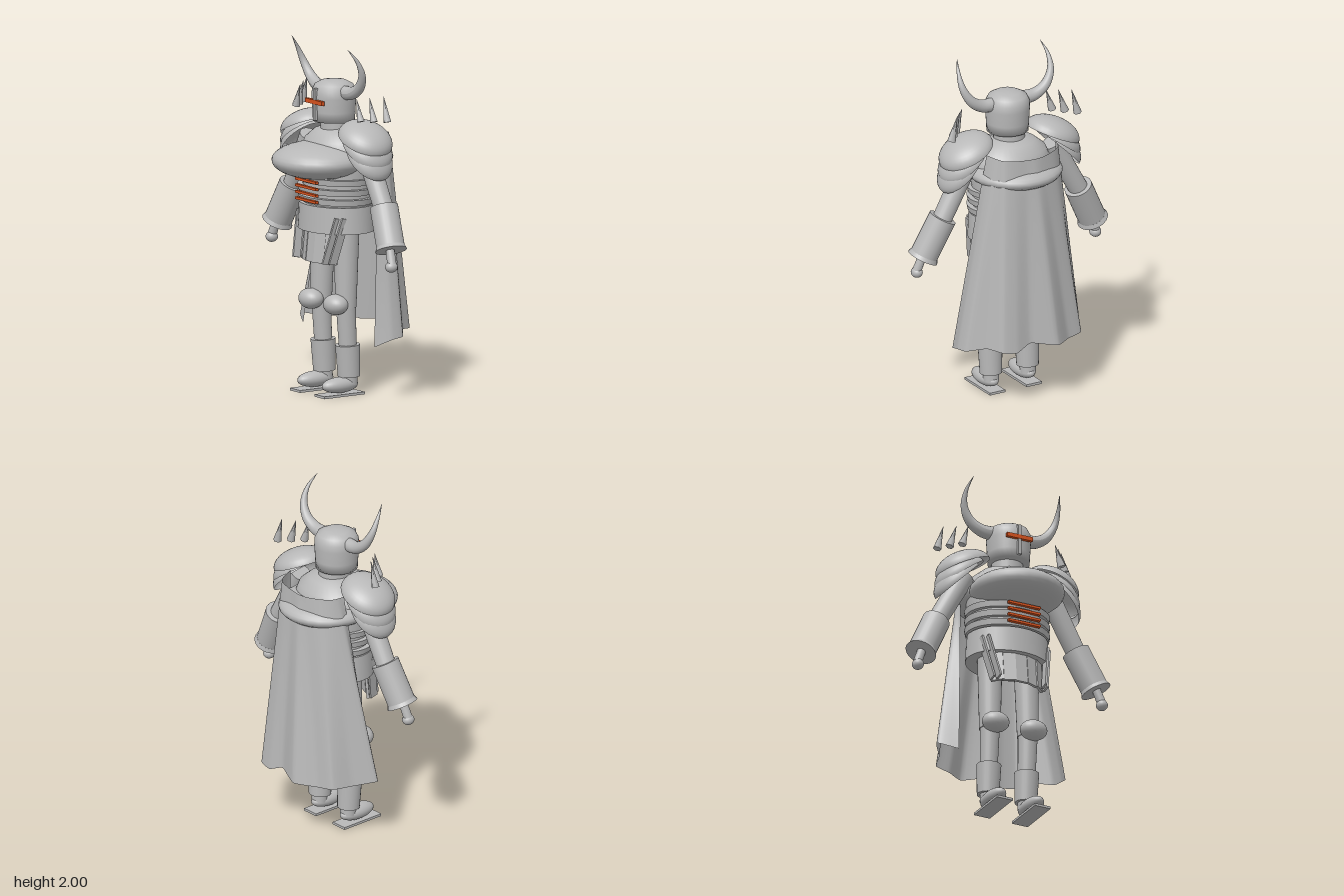
import * as THREE from 'three';

export function createModel() {
  const model = new THREE.Group();
  const steel = new THREE.MeshStandardMaterial({ color: 0xb8b8b8, side: THREE.DoubleSide });
  steel.name = 'steel grey';
  const glow = new THREE.MeshStandardMaterial({ color: 0xd9531e });
  glow.name = 'ember orange';
  const V = (x, y, z) => new THREE.Vector3(x, y, z);

  const add = (name, geo, pos = [0, 0, 0], mat = steel) => {
    const m = new THREE.Mesh(geo, mat);
    m.name = name;
    m.position.set(...pos);
    model.add(m);
    return m;
  };
  const box = (name, size, pos, mat) => add(name, new THREE.BoxGeometry(...size), pos, mat);
  const ball = (name, pos, radii) => {
    const m = add(name, new THREE.SphereGeometry(1, 28, 18), pos);
    m.scale.set(...radii);
    return m;
  };
  // Cylinder or cone running from a to b
  const rod = (name, a, b, ra, rb, sides = 24) => {
    const d = b.clone().sub(a);
    const m = add(name, new THREE.CylinderGeometry(rb, ra, d.length(), sides), a.clone().add(b).multiplyScalar(0.5).toArray());
    m.quaternion.setFromUnitVectors(V(0, 1, 0), d.normalize());
    return m;
  };
  const lathe = (name, profile, pos, zScale = 1) => {
    const m = add(name, new THREE.LatheGeometry(profile.map(p => new THREE.Vector2(...p)), 36), pos);
    m.scale.z = zScale;
    return m;
  };

  // Helmet with cross-shaped visor
  lathe('helmet', [[0, 1.545], [0.118, 1.545], [0.121, 1.6], [0.126, 1.68], [0.124, 1.72], [0.108, 1.752],
    [0.07, 1.772], [0.03, 1.778], [0, 1.779]], [0, 0, 0.017]);
  box('visorSlit', [0.16, 0.024, 0.02], [0, 1.662, 0.148], glow);
  box('visorBar', [0.02, 0.18, 0.025], [0, 1.647, 0.142]);
  rod('neck', V(0, 1.46, 0), V(0, 1.56, 0), 0.09, 0.09);

  // Torso, breastplate and back plate
  lathe('torso', [[0, 0.95], [0.215, 0.95], [0.222, 1.1], [0.225, 1.22], [0.24, 1.32], [0.235, 1.38], [0.21, 1.44],
    [0.15, 1.49], [0.08, 1.514], [0, 1.52]], [0, 0, -0.01], 0.82);
  ball('breastplate', [0, 1.33, 0.115], [0.27, 0.105, 0.27]);
  ball('backPlate', [0, 1.335, -0.06], [0.27, 0.083, 0.27]);
  lathe('belt', [[0, 0.93], [0.245, 0.93], [0.245, 0.93], [0.238, 1.08], [0.238, 1.08], [0, 1.08]], [0, 0, 0], 0.82);

  // Abdomen bands and glowing vents
  [1.108, 1.163, 1.22].forEach(y => {
    const m = add('abdomenBand', new THREE.CylinderGeometry(0.252, 0.245, 0.034, 40), [0, y, 0]);
    m.scale.z = 0.79;
  });
  [1.108, 1.145, 1.182, 1.219].forEach(y => box('vent', [0.2, 0.014, 0.02], [0, y, 0.203], glow));

  // Skirt plates around the front, with thin fins at the hips
  for (let i = -2; i <= 2; i++) {
    const a = i * 0.36;
    const m = box('skirtPlate', [0.078, 0.2, 0.016], [Math.sin(a) * 0.2, 0.855, Math.cos(a) * 0.165]);
    m.rotation.set(-0.1, a, 0);
  }

  for (const s of [1, -1]) {
    for (const [x, z] of [[0.19, 0.115], [0.165, 0.145]]) {
      const m = box('hipFin', [0.012, 0.27, 0.05], [s * x, 0.89, z]);
      m.rotation.set(-0.22, 0, -s * 0.17);
    }

    // Horn: tube narrowed to a point along its curve
    const path = new THREE.CatmullRomCurve3([V(s * 0.1, 1.715, 0.015), V(s * 0.17, 1.722, 0.012), V(s * 0.24, 1.765, 0.01),
      V(s * 0.285, 1.84, 0.025), V(s * 0.292, 1.92, 0.06), V(s * 0.27, 2.0, 0.118)]);
    const horn = new THREE.TubeGeometry(path, 28, 0.04, 16);
    const hp = horn.attributes.position;
    for (let i = 0; i < hp.count; i++) {
      const t = Math.floor(i / 17) / 28;
      const c = path.getPointAt(t);
      const p = V(0, 0, 0).fromBufferAttribute(hp, i).sub(c).multiplyScalar(1 - Math.pow(t, 1.25)).add(c);
      hp.setXYZ(i, p.x, p.y, p.z);
    }
    horn.computeVertexNormals();
    add('horn', horn);

    // Shoulder guard of three overlapping half domes
    [[0.28, 1.47, 0.42, 0.153, 0.095], [0.3, 1.422, 0.63, 0.143, 0.088], [0.317, 1.378, 0.79, 0.135, 0.086]]
      .forEach(([x, y, tilt, rz, h]) => {
        const m = add('shoulderDome', new THREE.SphereGeometry(1, 32, 10, 0, Math.PI * 2, 0, Math.PI / 2), [s * x, y, 0]);
        m.scale.set(0.165, h, rz);
        m.rotation.z = -s * tilt;
      });

    // Floating shoulder spikes
    [[0.315, 0.275, 1.71, 0.055], [0.365, 0.322, 1.72, 0], [0.412, 0.373, 1.73, -0.06]].forEach(([x, tx, ty, z]) =>
      rod('shoulderSpike', V(s * x, 1.585, z), V(s * tx, ty, z), 0.024, 0.001, 6));

    // Arm, flared gauntlet and hand
    rod('upperArm', V(s * 0.27, 1.42, -0.01), V(s * 0.47, 1.06, -0.012), 0.06, 0.055);
    rod('gauntlet', V(s * 0.442, 1.115, -0.015), V(s * 0.548, 0.9, 0.013), 0.08, 0.08);
    rod('gauntletCuff', V(s * 0.545, 0.906, 0.012), V(s * 0.555, 0.885, 0.015), 0.08, 0.09);
    rod('wrist', V(s * 0.55, 0.9, 0.02), V(s * 0.584, 0.81, 0.03), 0.024, 0.026);
    ball('hand', [s * 0.583, 0.797, 0.033], [0.033, 0.031, 0.036]);

    // Leg, knee guard, greave and shoe
    rod('thigh', V(s * 0.12, 0.5, 0.02), V(s * 0.115, 0.97, 0.01), 0.06, 0.072);
    ball('kneeGuard', [s * 0.12, 0.52, 0.09], [0.08, 0.058, 0.066]);
    rod('shin', V(s * 0.12, 0.06, -0.005), V(s * 0.12, 0.52, 0.02), 0.045, 0.056);
    rod('greave', V(s * 0.12, 0.105, -0.002), V(s * 0.12, 0.285, 0.008), 0.063, 0.07);
    ball('shoe', [s * 0.12, 0.06, 0.06], [0.054, 0.045, 0.118]);
    box('sole', [0.1, 0.014, 0.275], [s * 0.12, 0.007, 0.062]);
  }

  // Cape lofted from the collar arc to a folded, ragged hem
  const hem = new THREE.CatmullRomCurve3([V(-0.31, 0.345, 0.01), V(-0.42, 0.38, -0.05), V(-0.34, 0.36, -0.17),
    V(-0.3, 0.36, -0.285), V(-0.2, 0.35, -0.31), V(-0.087, 0.36, -0.387), V(0.06, 0.385, -0.335), V(0.155, 0.35, -0.35),
    V(0.24, 0.36, -0.333), V(0.295, 0.37, -0.25), V(0.39, 0.35, -0.18), V(0.4, 0.34, -0.1), V(0.37, 0.305, 0)],
  false, 'catmullrom', 0.25);
  const collar = new THREE.CatmullRomCurve3([V(-0.225, 1.48, -0.13), V(-0.2, 1.475, -0.2), V(-0.06, 1.465, -0.268),
    V(0.05, 1.465, -0.268), V(0.17, 1.475, -0.24), V(0.2, 1.48, -0.2), V(0.225, 1.485, -0.13)]);
  const cols = 60, rows = 14, verts = [], index = [];
  for (let j = 0; j <= rows; j++) {
    for (let i = 0; i <= cols; i++) {
      verts.push(...collar.getPoint(i / cols).lerp(hem.getPoint(i / cols), j / rows).toArray());
      if (i < cols && j < rows) {
        const a = j * (cols + 1) + i, b = a + cols + 1;
        index.push(a, a + 1, b, b, a + 1, b + 1);
      }
    }
  }
  const cape = new THREE.BufferGeometry();
  cape.setAttribute('position', new THREE.Float32BufferAttribute(verts, 3));
  cape.setIndex(index);
  cape.computeVertexNormals();
  add('cape', cape);

  return model;
}
